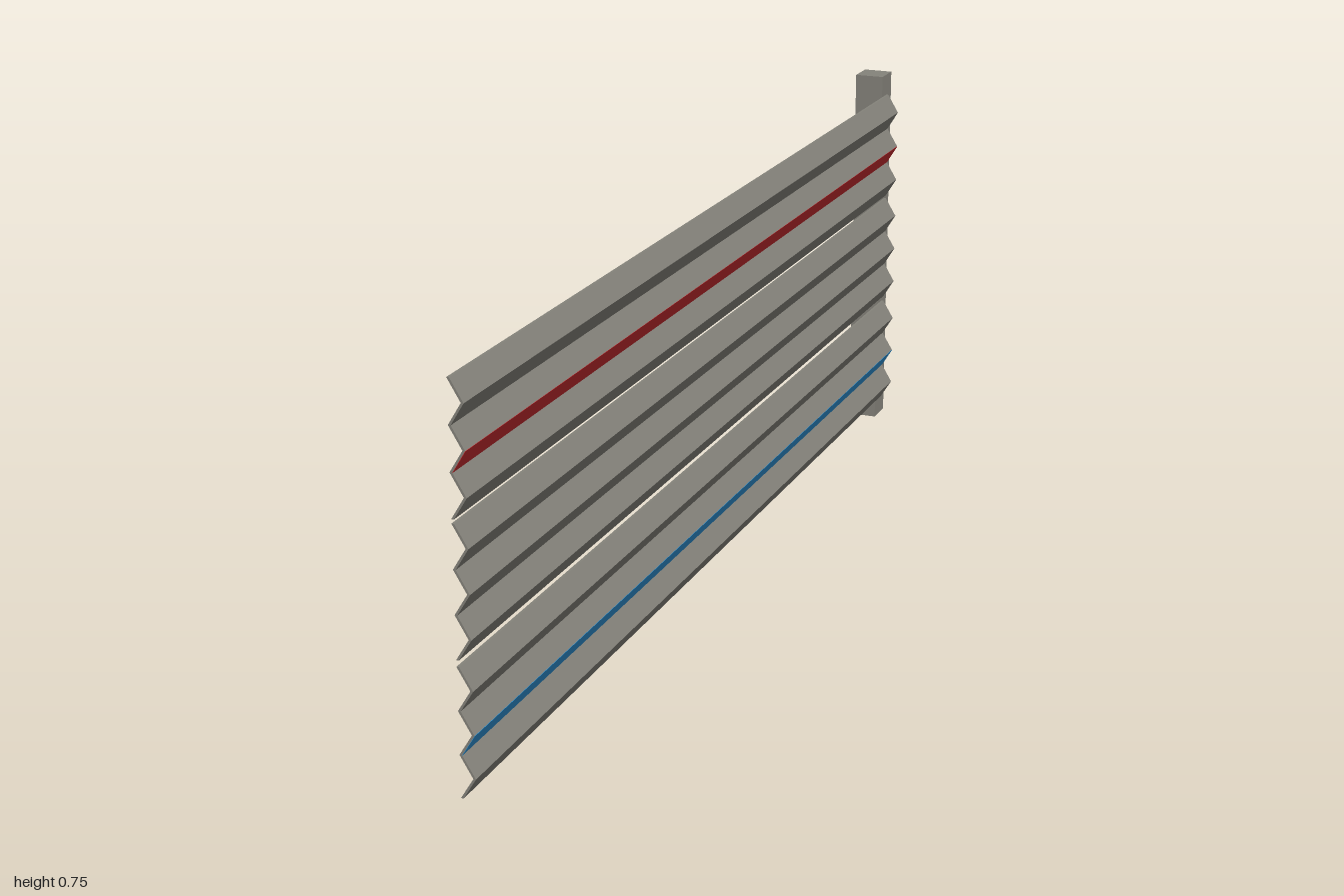
import * as THREE from 'three';

const material = (name, color) => Object.assign(new THREE.MeshStandardMaterial({ color }), { name });

export function createModel() {
  const group = new THREE.Group();
  const grey = material('galvanised grey', 0x85837b);
  const red = material('stripe red', 0xcc2c30);
  const blue = material('stripe blue', 0x3098dc);

  const Z_BACK = -0.97, LENGTH = 1.97;
  const VALLEY = 0.0155, PEAK = 0.0375, THICK = 0.0045, STEP = 0.0362;

  // Extrudes an x-y outline along the length of the fence
  function extrude(name, points, mat) {
    const shape = new THREE.Shape(points.map(([x, y]) => new THREE.Vector2(x, y)));
    const geometry = new THREE.ExtrudeGeometry(shape, { depth: LENGTH, bevelEnabled: false });
    const mesh = new THREE.Mesh(geometry, mat);
    mesh.name = name;
    mesh.position.z = Z_BACK;
    group.add(mesh);
  }

  // Corrugated sheet with three outward ridges, starting at its top edge
  function panel(name, top) {
    const inner = [];
    for (let i = 0; i <= 6; i++) inner.push([i % 2 ? PEAK : VALLEY, top - i * STEP]);
    const outer = inner.map(([x, y]) => [x + THICK, y]).reverse();
    extrude(name, [...inner, ...outer], grey);
  }

  // Thin coloured plate on the downward outer face of the second ridge
  function stripe(name, top, mat) {
    const a = [PEAK + THICK, top - 3 * STEP], b = [VALLEY + THICK, top - 4 * STEP];
    const t = 0.0008;
    extrude(name, [a, b, [b[0] + t, b[1]], [a[0] + t, a[1]]], mat);
  }

  panel('topPanel', 0.709);
  panel('middlePanel', 0.485);
  panel('bottomPanel', 0.257);
  stripe('redStripe', 0.709, red);
  stripe('blueStripe', 0.257, blue);

  // Square post at the back end
  const post = new THREE.Mesh(new THREE.BoxGeometry(0.058, 0.752, 0.058), grey);
  post.name = 'post';
  post.position.set(-0.0135, 0.376, -0.971);
  group.add(post);

  return group;
}
